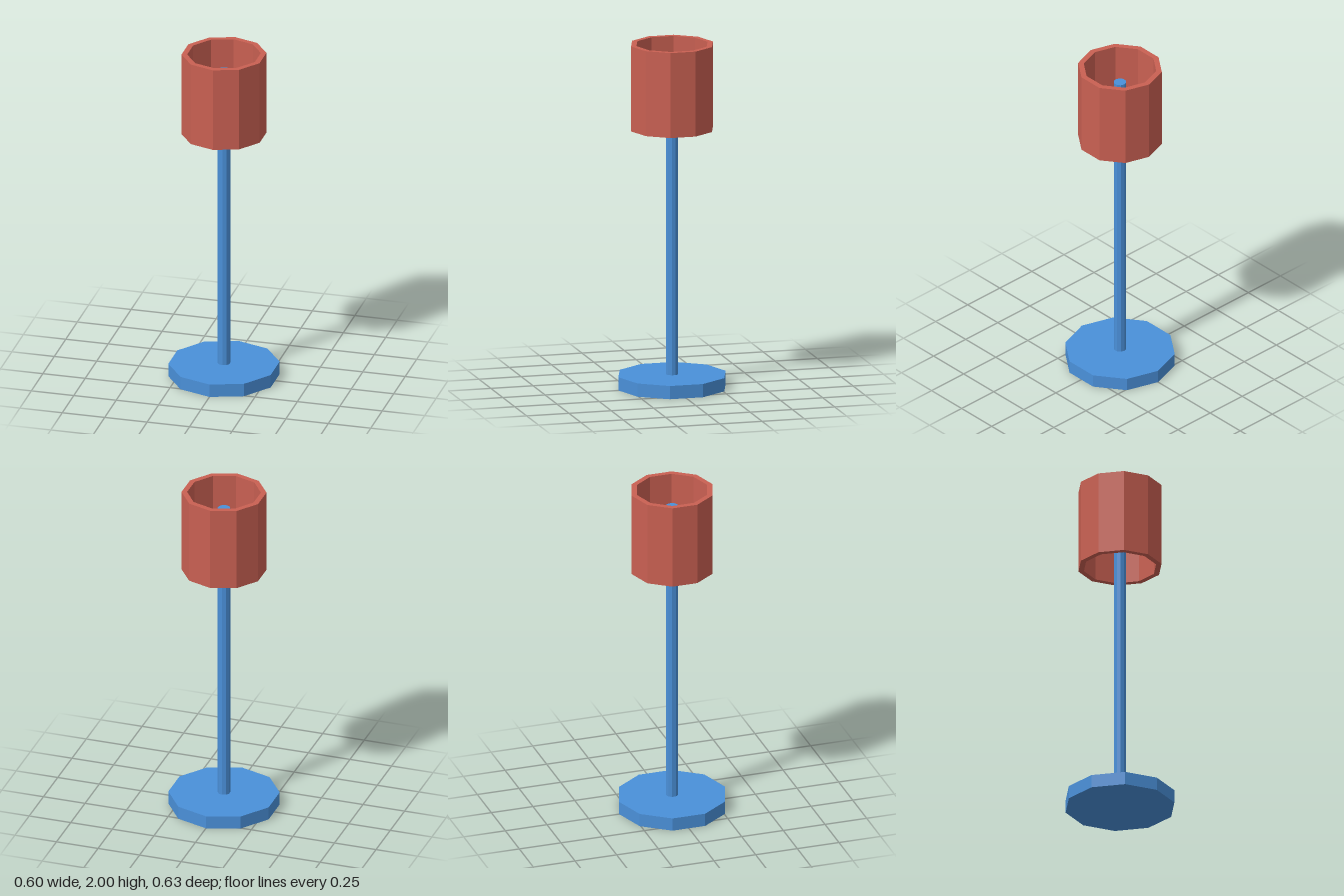
import * as THREE from 'three';

const SIDES = 10;
const blue = new THREE.MeshStandardMaterial({ color: 0x4a90d9, flatShading: true });
const red = new THREE.MeshStandardMaterial({ color: 0xc96052, flatShading: true });

// Ten-sided prism standing between two heights
function prism(name, radius, bottom, top) {
  const mesh = new THREE.Mesh(new THREE.CylinderGeometry(radius, radius, top - bottom, SIDES), blue);
  mesh.position.y = (bottom + top) / 2;
  mesh.name = name;
  return mesh;
}

export function createModel() {
  const lamp = new THREE.Group();
  lamp.name = 'floorLamp';

  // Foot plate and pole
  lamp.add(prism('base', 0.317, 0, 0.077));
  lamp.add(prism('pole', 0.036, 0.077, 1.9));

  // Shade: thick-walled tube, open at top and bottom
  const profile = [[0.242, 1.505], [0.242, 2], [0.21, 2], [0.21, 1.505], [0.242, 1.505]];
  const shade = new THREE.Mesh(
    new THREE.LatheGeometry(profile.map(([r, y]) => new THREE.Vector2(r, y)), SIDES), red);
  shade.name = 'shade';
  lamp.add(shade);

  return lamp;
}
